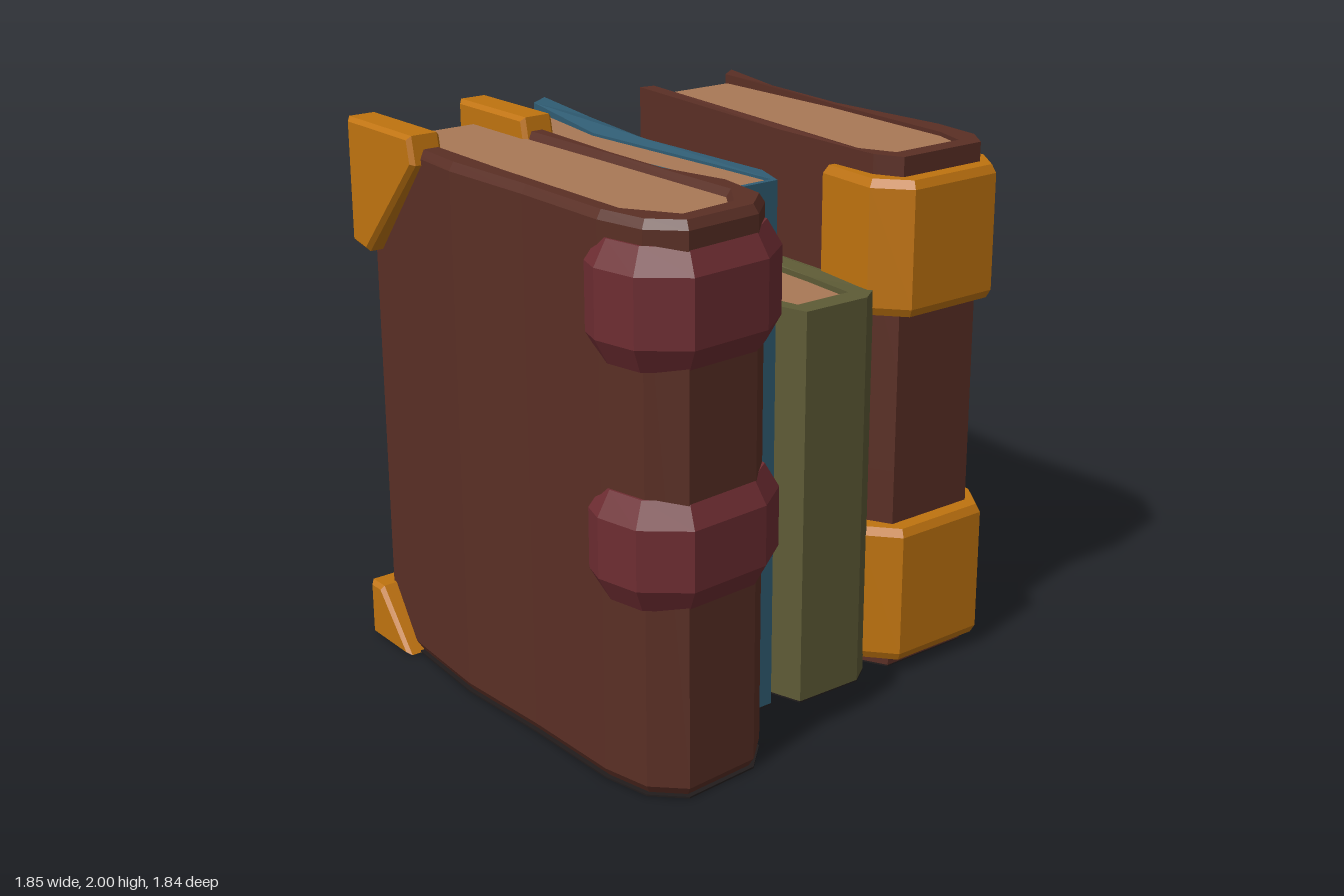
import * as THREE from 'three';

const mat = (name, color) => {
  const m = new THREE.MeshStandardMaterial({ color });
  m.name = name;
  return m;
};

export function createModel() {
  const root = new THREE.Group();
  root.name = 'bookRow';
  const brown = mat('brown leather', 0x5a2f25);
  const red = mat('dark red leather', 0x6e2d32);
  const gold = mat('gold', 0xbf730f);
  const paper = mat('paper', 0xa97956);
  const blue = mat('blue cloth', 0x305d74);
  const olive = mat('olive cloth', 0x5e5b36);
  const dark = mat('dark underside', 0x211c1c);

  const shapeOf = (pts) => new THREE.Shape(pts.map(([a, b]) => new THREE.Vector2(a, b)));

  function add(parent, name, geometry, material) {
    const mesh = new THREE.Mesh(geometry, material);
    mesh.name = name;
    parent.add(mesh);
    return mesh;
  }

  // Upright slab from an (x, z) outline, with an optional single chamfer and vertex rule
  function slab(pts, y0, y1, { size = 0, thick = 0, steps = 1, warp } = {}) {
    const g = new THREE.ExtrudeGeometry(shapeOf(pts), {
      depth: y1 - y0 - 2 * thick, steps, bevelEnabled: size > 0, bevelSegments: 1,
      bevelSize: size, bevelOffset: -size, bevelThickness: thick,
    });
    g.rotateX(Math.PI / 2).translate(0, y1 - thick, 0);
    if (warp) {
      const p = g.attributes.position;
      const v = new THREE.Vector3();
      for (let i = 0; i < p.count; i++) {
        warp(v.fromBufferAttribute(p, i));
        p.setXYZ(i, v.x, v.y, v.z);
      }
    }
    g.computeVertexNormals();
    return g;
  }

  // Metal corner: (z, y) outline with a thickness in x
  function corner(pts, x0, x1) {
    const c = 0.015;
    const g = new THREE.ExtrudeGeometry(shapeOf(pts), {
      depth: x1 - x0 - 2 * c, bevelEnabled: true, bevelSegments: 1,
      bevelSize: c, bevelOffset: -c, bevelThickness: c,
    });
    return g.rotateY(-Math.PI / 2).translate(x1 - c, 0, 0);
  }

  // One book: U-shaped cover, page block and dark underside
  function book(name, { outer, inner, pages, top, pageTop, cover, opts }) {
    const group = new THREE.Group();
    group.name = name;
    root.add(group);
    add(group, 'cover', slab([...outer, ...[...inner].reverse()], 0.006, top, opts), cover);
    add(group, 'pages', slab(pages, 0.006, pageTop), paper);
    add(group, 'underside', slab(outer, 0, 0.006), dark);
    return group;
  }

  // Tall brown book on the right-hand side of the row's front (-x)
  const ribbed = book('ribbedBook', {
    cover: brown, top: 1.95, pageTop: 1.925, opts: { size: 0.018, thick: 0.03 },
    outer: [[-0.85, -0.78], [-0.9, -0.2], [-0.885, 0.2], [-0.885, 0.6], [-0.85, 0.78], [-0.75, 0.88],
      [-0.46, 0.86], [-0.35, 0.76], [-0.32, 0.55], [-0.38, 0.3], [-0.38, 0], [-0.36, -0.4], [-0.36, -0.78]],
    inner: [[-0.78, -0.76], [-0.8, 0], [-0.8, 0.62], [-0.7, 0.78], [-0.5, 0.76], [-0.42, 0.65], [-0.43, 0], [-0.45, -0.76]],
    pages: [[-0.77, -0.73], [-0.79, 0], [-0.79, 0.63], [-0.7, 0.79], [-0.5, 0.77], [-0.42, 0.66], [-0.43, 0], [-0.45, -0.73]],
  });
  const rib = [[-0.9, 0.55], [-0.93, 0.64], [-0.9, 0.8], [-0.76, 0.92], [-0.45, 0.9], [-0.31, 0.8], [-0.28, 0.57], [-0.36, 0.46]];
  for (const [y0, y1] of [[0.67, 1.05], [1.47, 1.87]]) {
    add(ribbed, 'spineRib', slab(rib, y0, y1, { size: 0.045, thick: 0.085 }), red);
  }
  const topCorner = [[-0.83, 2], [-0.42, 2], [-0.4, 1.9], [-0.73, 1.53], [-0.83, 1.55]];
  add(ribbed, 'outerTopCorner', corner(topCorner, -0.92, -0.79), gold);
  add(ribbed, 'innerTopCorner', corner(topCorner, -0.455, -0.325), gold);
  add(ribbed, 'outerBottomCorner', corner([[-0.84, 0], [-0.58, 0], [-0.76, 0.22], [-0.84, 0.22]], -0.92, -0.79), gold);

  // Slim blue book
  book('blueBook', {
    cover: blue, top: 1.915, pageTop: 1.905,
    opts: { warp: (v) => { if (v.y > 1 && v.z < -0.8) { v.y += 0.02; if (v.x > -0.05) v.x -= 0.03; } } },
    outer: [[-0.34, -0.88], [-0.34, -0.4], [-0.38, 0.25], [-0.34, 0.5], [-0.28, 0.555],
      [-0.12, 0.555], [-0.07, 0.42], [-0.08, 0.1], [-0.09, -0.2], [-0.03, -0.6], [0.02, -0.92]],
    inner: [[-0.31, -0.86], [-0.32, -0.4], [-0.31, 0.1], [-0.27, 0.535], [-0.13, 0.535], [-0.14, 0.3], [-0.18, -0.38], [-0.1, -0.86]],
    pages: [[-0.31, -0.85], [-0.32, -0.4], [-0.31, 0.1], [-0.27, 0.535], [-0.13, 0.535], [-0.14, 0.3], [-0.18, -0.38], [-0.1, -0.85]],
  });

  // Short olive book
  book('oliveBook', {
    cover: olive, top: 1.46, pageTop: 1.44,
    opts: { warp: (v) => { if (v.y > 1 && v.z < -0.7) v.y += 0.03; } },
    outer: [[-0.02, -0.8], [-0.04, -0.2], [-0.085, 0.42], [-0.03, 0.61], [0.24, 0.615], [0.32, 0.56],
      [0.345, 0.3], [0.36, -0.2], [0.38, -0.81], [0.32, -0.83]],
    inner: [[0, -0.79], [-0.02, -0.2], [-0.04, 0.35], [0, 0.53], [0.23, 0.53], [0.25, 0.3], [0.27, -0.2], [0.265, -0.79]],
    pages: [[0, -0.78], [-0.02, -0.2], [-0.04, 0.35], [0, 0.53], [0.23, 0.53], [0.25, 0.3], [0.27, -0.2], [0.265, -0.78]],
  });

  // Tall brown book with gold clasps; its back corner flares at the foot
  const clasped = book('claspedBook', {
    cover: brown, top: 1.92, pageTop: 1.905,
    opts: {
      steps: 5,
      warp: (v) => {
        if (v.z > -0.7) return;
        if (v.y > 1.8) v.y += 0.02;
        if (v.x > 0.83) {
          if (v.y > 0.2) { v.x -= 0.05; v.z += 0.03; }
        }
      },
    },
    outer: [[0.37, -0.82], [0.36, 0], [0.36, 0.5], [0.41, 0.6], [0.78, 0.6], [0.85, 0.5],
      [0.87, 0.3], [0.83, -0.2], [0.855, -0.6], [0.92, -0.9]],
    inner: [[0.43, -0.81], [0.4, 0], [0.38, 0.4], [0.44, 0.53], [0.74, 0.53], [0.78, 0.4], [0.805, -0.2], [0.79, -0.81]],
    pages: [[0.43, -0.8], [0.4, 0], [0.38, 0.4], [0.44, 0.53], [0.74, 0.53], [0.78, 0.4], [0.805, -0.2], [0.79, -0.8]],
  });
  const clasp = [[0.32, 0.29], [0.3, 0.55], [0.4, 0.67], [0.79, 0.67], [0.88, 0.54], [0.885, 0.33]];
  for (const [y0, y1] of [[0.05, 0.57], [1.365, 1.85]]) {
    add(clasped, 'spineClasp', slab(clasp, y0, y1, { size: 0.015, thick: 0.03 }), gold);
  }

  return root;
}
